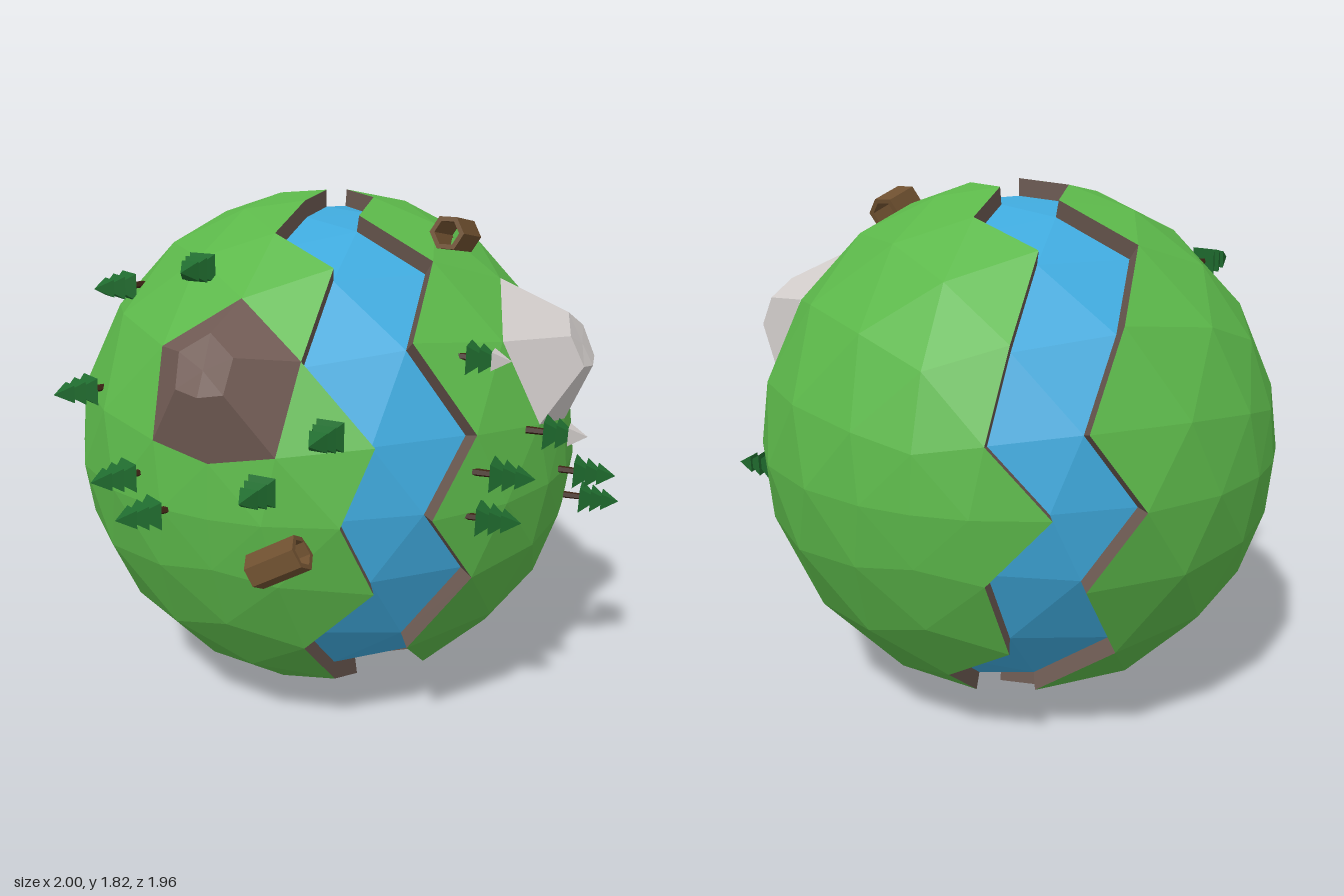
import * as THREE from 'three';

const N = 6, R = 0.912, BED = 0.935;
const CENTRE = new THREE.Vector3(-0.09, 0.915, -0.07);

const mat = (color, side = THREE.FrontSide) =>
  new THREE.MeshStandardMaterial({ color, flatShading: true, side });
const GRASS = mat(0x5cb84a), WATER = mat(0x3fa9dc), BANK = mat(0x6a5850, THREE.DoubleSide);
const ROCK = mat(0x725c55), PALE = mat(0xcfcac8), LEAF = mat(0x1f6b2e), TRUNK = mat(0x3d2314), WOOD = mat(0x6f5030);

// Banks of the river as closed paths over the octahedral grid, |x|+|y|+|z| = 6
const LEFT = [[1, 2, 3], [2, 1, 3], [2, 0, 4], [2, -1, 3], [1, -2, 3], [1, -3, 2], [1, -4, 1], [0, -5, 1],
  [0, -6, 0], [0, -5, -1], [-1, -4, -1], [-1, -3, -2], [-2, -2, -2], [-2, -1, -3], [-3, 0, -3], [-2, 1, -3],
  [-2, 2, -2], [-2, 3, -1], [-1, 4, -1], [-1, 5, 0], [0, 6, 0], [0, 5, 1], [0, 4, 2], [1, 3, 2]];
const RIGHT = [[2, 2, 2], [3, 1, 2], [3, 0, 3], [3, -1, 2], [2, -2, 2], [2, -3, 1], [2, -4, 0], [1, -5, 0],
  [1, -4, -1], [0, -4, -2], [0, -3, -3], [-1, -2, -3], [-1, -1, -4], [-2, 0, -4], [-1, 1, -4], [-1, 2, -3],
  [-1, 3, -2], [0, 4, -2], [0, 5, -1], [1, 5, 0], [1, 4, 1], [2, 3, 1]];

const key = (p) => p.map((v) => v + 0).join();
const onSphere = (p, k = 1) => new THREE.Vector3(...p).setLength(R * k);

// Mesh from triangles, each turned to face away from the planet's centre
function facets(name, tris, material) {
  const pts = [];
  for (const [a, b, c] of tris) {
    const n = b.clone().sub(a).cross(c.clone().sub(a));
    pts.push(...(n.dot(a) + n.dot(b) + n.dot(c) < 0 ? [a, c, b] : [a, b, c]));
  }
  const g = new THREE.BufferGeometry().setFromPoints(pts);
  g.computeVertexNormals();
  const m = new THREE.Mesh(g, material);
  m.name = name;
  return m;
}

// All triangles of the subdivided octahedron in grid coordinates
function gridTriangles() {
  const out = [];
  for (const sx of [1, -1]) for (const sy of [1, -1]) for (const sz of [1, -1]) {
    const P = (i, j) => [sx * i, sy * j, sz * (N - i - j)];
    for (let i = 0; i < N; i++) for (let j = 0; j < N - i; j++) {
      out.push([P(i, j), P(i + 1, j), P(i, j + 1)]);
      if (i + j < N - 1) out.push([P(i + 1, j), P(i + 1, j + 1), P(i, j + 1)]);
    }
  }
  return out;
}

function planet() {
  const group = new THREE.Group();
  group.name = 'planet';
  const left = new Set(LEFT.map(key)), right = new Set(RIGHT.map(key));
  const land = [], water = [], walls = [];
  for (const t of gridTriangles()) {
    const river = t.some((p) => left.has(key(p))) && t.some((p) => right.has(key(p)));
    (river ? water : land).push(t.map((p) => onSphere(p, river ? BED : 1)));
  }
  for (const path of [LEFT, RIGHT]) path.forEach((p, i) => {
    const q = path[(i + 1) % path.length];
    const a = onSphere(p), b = onSphere(q), c = onSphere(q, BED), d = onSphere(p, BED);
    walls.push([a, b, c], [a, c, d]);
  });
  group.add(facets('land', land, GRASS), facets('river', water, WATER), facets('riverBanks', walls, BANK));
  return group;
}

// Flat-topped mountain rising from the six grid points around a centre
function mountain(name, ring, top, material) {
  const base = ring.map((p) => onSphere(p, 1.002));
  const mid = base.reduce((s, p) => s.add(p), new THREE.Vector3()).divideScalar(6);
  const cap = base.map((p) => p.clone().sub(mid).multiplyScalar(0.38).add(top));
  const tris = [];
  for (let i = 0; i < 6; i++) {
    const j = (i + 1) % 6;
    tris.push([base[i], base[j], cap[j]], [base[i], cap[j], cap[i]], [cap[i], cap[j], top]);
  }
  return facets(name, tris, material);
}

// Three-tier tree, its middle at the given point, growing along dir
function tree(pos, dir, paleTip) {
  const g = new THREE.Group();
  g.name = 'tree';
  const add = (name, geo, y, m) => {
    const mesh = new THREE.Mesh(geo, m);
    mesh.name = name;
    mesh.position.y = y;
    g.add(mesh);
  };
  add('trunk', new THREE.CylinderGeometry(0.011, 0.013, 0.09, 5), -0.06, TRUNK);
  [[0.066, 0.07, -0.01], [0.056, 0.065, 0.027], [0.043, 0.06, 0.062]].forEach(([r, h, y], i) =>
    add('foliage', new THREE.ConeGeometry(r, h, 4, 1, false, Math.PI / 4), y, i === 2 && paleTip ? PALE : LEAF));
  const d = new THREE.Vector3(...dir).normalize();
  const side = new THREE.Vector3(0, 1, 0).cross(d).normalize();
  g.quaternion.setFromRotationMatrix(new THREE.Matrix4().makeBasis(side, d, side.clone().cross(d)));
  g.position.set(...pos);
  return g;
}

// Hollow six-sided log
function log(pos, dir) {
  const ring = (r) => Array.from({ length: 6 }, (_, i) =>
    new THREE.Vector2(r * Math.cos(i * Math.PI / 3), r * Math.sin(i * Math.PI / 3)));
  const shape = new THREE.Shape(ring(0.06));
  shape.holes.push(new THREE.Path(ring(0.043)));
  const geo = new THREE.ExtrudeGeometry(shape, { depth: 0.18, bevelEnabled: false }).translate(0, 0, -0.09);
  const m = new THREE.Mesh(geo, WOOD);
  m.name = 'hollowLog';
  m.quaternion.setFromUnitVectors(new THREE.Vector3(0, 0, 1), new THREE.Vector3(...dir).normalize());
  m.position.set(...pos);
  return m;
}

export function createModel() {
  const model = new THREE.Group();
  const globe = planet();
  const ring = [[0, 3, 3], [1, 2, 3], [1, 1, 4], [0, 1, 5], [-1, 1, 4], [-1, 2, 3]];
  globe.add(
    mountain('brownMountain', ring, new THREE.Vector3(0, 0.475, 0.9), ROCK),
    mountain('paleMountain', ring.map(([x, y, z]) => [z, y, -x]), new THREE.Vector3(0.925, 0.43, -0.07), PALE));
  globe.position.copy(CENTRE);
  model.add(globe);

  // Front grove
  const front = [[-0.67, 1.52, 0.4, -0.5], [-0.28, 1.63, 0.53, 0], [-0.68, 1.21, 0.65, -0.5], [-0.41, 1.01, 0.85, -0.5],
    [-0.29, 0.92, 0.9, -0.55], [0.1, 1.04, 0.88, -0.05], [0.28, 1.21, 0.78, -0.05]];
  for (const [x, y, z, dx] of front) model.add(tree([x, y, z], [dx, 0.04, 1]));

  // Grove beyond the river, two trees with pale tips
  const far = [[0.62, 1.38, 0.32, true], [0.85, 1.13, 0.21, true], [0.74, 1.04, 0.42], [0.71, 0.9, 0.45],
    [0.91, 0.93, -0.01], [0.89, 0.75, -0.24]];
  for (const [x, y, z, pale] of far) model.add(tree([x, y, z], [1, -0.03, -0.12], pale));

  model.add(log([0.15, 0.81, 0.83], [0.86, 0.48, -0.1]), log([0.415, 1.71, 0], [-0.03, 0.2, 1]));
  return model;
}
